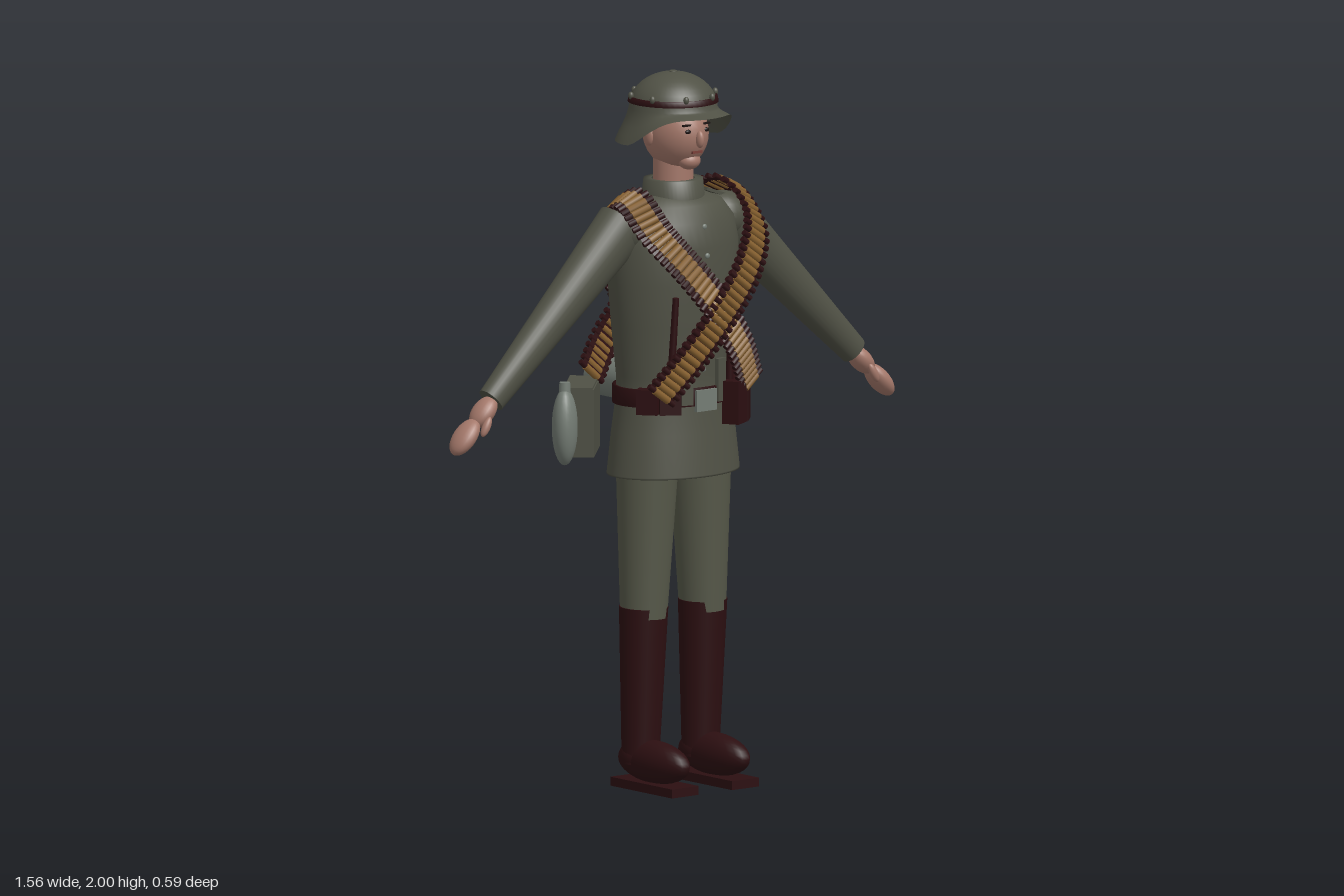
import * as THREE from 'three';
import { mergeGeometries } from 'three/addons/utils/BufferGeometryUtils.js';

const V = (x, y, z) => new THREE.Vector3(x, y, z);
const UP = V(0, 1, 0);
const CZ = 0.065; // depth of the body axis

function mat(name, color, side = THREE.FrontSide) {
  const m = new THREE.MeshStandardMaterial({ color, side });
  m.name = name;
  return m;
}

export function createModel() {
  const root = new THREE.Group();
  root.name = 'soldier';
  const cloth = mat('field grey cloth', 0x505145, THREE.DoubleSide);
  const trouser = mat('trouser grey', 0x565849);
  const leather = mat('dark leather', 0x2c0f11, THREE.DoubleSide);
  const brass = mat('brass', 0x86602f);
  const skin = mat('skin', 0xa4786a);
  const metal = mat('grey metal', 0x747c74);
  const dark = mat('eye black', 0x1c1413);
  const lip = mat('lip red', 0x7a4039);

  const add = (name, geo, m, pos = [0, 0, 0], scale = [1, 1, 1], rot = [0, 0, 0]) => {
    const mesh = new THREE.Mesh(geo, m);
    mesh.name = name;
    mesh.position.set(...pos);
    mesh.scale.set(...scale);
    mesh.rotation.set(...rot);
    root.add(mesh);
    return mesh;
  };
  const ball = (name, m, pos, radii, rot) => add(name, new THREE.SphereGeometry(1, 24, 16), m, pos, radii, rot);
  const box = (name, m, pos, size, rot) => add(name, new THREE.BoxGeometry(...size), m, pos, [1, 1, 1], rot);
  const rod = (name, m, a, b, ra, rb, depth = 1) => {
    const d = b.clone().sub(a);
    const mesh = add(name, new THREE.CylinderGeometry(rb, ra, d.length(), 28), m);
    mesh.position.copy(a).add(b).multiplyScalar(0.5);
    mesh.quaternion.setFromUnitVectors(UP, d.normalize());
    mesh.scale.z = depth;
    return mesh;
  };
  const lathe = (name, m, pts, depth = 1) => add(name,
    new THREE.LatheGeometry(pts.map(p => new THREE.Vector2(...p)), 48, Math.PI), m, [0, 0, CZ], [1, 1, depth]);

  // Tunic: skirt, waist, chest and sloping shoulders, then collar and belt
  lathe('tunic', cloth, [[0.001, 0.88], [0.203, 0.88], [0.203, 0.885], [0.19, 1.0], [0.175, 1.1], [0.175, 1.16],
    [0.19, 1.3], [0.2, 1.42], [0.2, 1.52], [0.185, 1.59], [0.15, 1.635], [0.09, 1.66], [0.001, 1.67]], 0.74);
  lathe('collar', cloth, [[0.09, 1.64], [0.083, 1.7], [0.06, 1.7]], 0.98);
  lathe('belt', leather, [[0.175, 1.08], [0.185, 1.08], [0.185, 1.13], [0.175, 1.13]], 0.76);
  box('beltBuckle', metal, [0, 1.095, CZ + 0.142], [0.07, 0.06, 0.012]);
  for (const [y, z] of [[1.58, 0.137], [1.5, 0.15], [1.42, 0.149], [1.27, 0.139], [1.18, 0.133]])
    ball('tunicButton', metal, [0, y, CZ + z], [0.008, 0.008, 0.005]);

  // Head and face
  rod('neck', skin, V(0, 1.66, CZ), V(0, 1.79, CZ), 0.056, 0.056);
  ball('head', skin, [0, 1.83, 0.075], [0.083, 0.102, 0.105]);
  ball('nose', skin, [0, 1.822, 0.182], [0.011, 0.024, 0.014]);
  ball('chin', skin, [0, 1.757, 0.135], [0.033, 0.025, 0.03]);
  box('mouth', lip, [0, 1.785, 0.168], [0.034, 0.007, 0.008]);
  for (const s of [1, -1]) {
    ball('eye', dark, [s * 0.032, 1.845, 0.17], [0.01, 0.006, 0.005]);
    box('eyebrow', dark, [s * 0.033, 1.862, 0.166], [0.028, 0.005, 0.008]);
    ball('ear', skin, [s * 0.083, 1.825, 0.06], [0.01, 0.028, 0.018]);
  }

  // Helmet: dome with a flared rim that rises over the face
  const dome = [[0.16, 1.8], [0.15, 1.825], [0.138, 1.85], [0.128, 1.875], [0.122, 1.9]];
  for (let i = 1; i <= 10; i++) {
    const a = i / 10 * Math.PI / 2;
    dome.push([Math.max(0.122 * Math.cos(a), 0.0005), 1.9 + 0.098 * Math.sin(a)]);
  }
  const helmet = lathe('helmet', cloth, dome, 1.02);
  const p = helmet.geometry.attributes.position;
  for (let i = 0; i < p.count; i++) {
    const y = p.getY(i);
    if (y >= 1.9) continue;
    const c = Math.cos(Math.atan2(p.getX(i), p.getZ(i)));
    const rim = 1.805 + 0.08 * THREE.MathUtils.smoothstep(c, -0.1, 0.9);
    p.setY(i, 1.9 - (1.9 - y) / 0.1 * (1.9 - rim));
  }
  helmet.geometry.computeVertexNormals();
  lathe('helmetBand', leather, [[0.119, 1.915], [0.125, 1.915], [0.122, 1.931], [0.114, 1.931]], 1.02);
  for (let i = 0; i < 8; i++) {
    const a = (i + 0.5) * Math.PI / 4;
    ball('helmetStud', cloth, [0.121 * Math.sin(a), 1.935, CZ + 0.123 * Math.cos(a)], [0.008, 0.011, 0.008]);
  }
  ball('helmetKnob', cloth, [0, 1.998, CZ], [0.012, 0.004, 0.012]);

  // Limbs
  for (const s of [1, -1]) {
    ball('shoulder', cloth, [s * 0.175, 1.575, CZ], [0.075, 0.07, 0.068]);
    box('shoulderBoard', cloth, [s * 0.15, 1.643, CZ], [0.1, 0.009, 0.045], [0, 0, -s * 0.35]);
    rod('sleeve', cloth, V(s * 0.18, 1.585, CZ - 0.003), V(s * 0.645, 1.145, 0.06), 0.078, 0.041, 0.87);
    ball('palm', skin, [s * 0.672, 1.115, 0.06], [0.028, 0.052, 0.037], [0, 0, s * 0.76]);
    ball('fingers', skin, [s * 0.738, 1.052, 0.06], [0.027, 0.06, 0.04], [0, 0, s * 0.72]);
    ball('thumb', skin, [s * 0.69, 1.08, 0.095], [0.012, 0.03, 0.012], [0, 0, s * 0.5]);
    rod('trouserLeg', trouser, V(s * 0.105, 0.48, CZ), V(s * 0.093, 0.95, CZ + 0.002), 0.065, 0.089);
    rod('bootShaft', leather, V(s * 0.107, 0.07, 0.053), V(s * 0.105, 0.51, CZ), 0.053, 0.07, 0.94);
    ball('ankle', leather, [s * 0.107, 0.09, 0.05], [0.056, 0.055, 0.055]);
    ball('bootFoot', leather, [s * 0.107, 0.08, 0.113], [0.052, 0.06, 0.145]);
    box('bootSole', leather, [s * 0.107, 0.0125, 0.115], [0.095, 0.025, 0.27]);
    // Thin carrying straps down the chest and the tabs under them
    rod('harnessStrap', leather, V(s * 0.105, 1.14, CZ + 0.118), V(s * 0.1, 1.39, CZ + 0.135), 0.011, 0.009);
    box('beltTab', cloth, [s * 0.06, 1.145, CZ + 0.133], [0.035, 0.12, 0.012], [0, s * 0.25, 0]);
  }

  // Crossed cartridge belts: a leather ribbon under a row of rounds
  const centre = V(0, 1.32, CZ);
  const path = [[-0.16, 1.13, 0.2], [-0.085, 1.24, 0.25], [0, 1.35, 0.272], [0.09, 1.46, 0.262], [0.165, 1.57, 0.2],
    [0.17, 1.655, 0.085], [0.155, 1.59, -0.03], [0.1, 1.48, -0.08], [0.02, 1.35, -0.112], [-0.07, 1.23, -0.128],
    [-0.14, 1.15, -0.1]];
  for (const s of [1, -1]) {
    const curve = new THREE.CatmullRomCurve3(path.map(([x, y, z]) => V(s * x, y, z)));
    const N = 66, pos = [], idx = [], shells = [], tips = [];
    for (let i = 0; i <= N; i++) {
      const c = curve.getPointAt(i / N), t = curve.getTangentAt(i / N);
      const w = t.clone().cross(c.clone().sub(centre)).normalize();
      const n = w.clone().cross(t).normalize();
      if (s > 0) c.addScaledVector(n, 0.012);
      pos.push(...c.clone().addScaledVector(w, 0.045).toArray(), ...c.clone().addScaledVector(w, -0.045).toArray());
      if (i < N) idx.push(2 * i, 2 * i + 1, 2 * i + 2, 2 * i + 1, 2 * i + 3, 2 * i + 2);
      const frame = new THREE.Matrix4().makeBasis(t, w, t.clone().cross(w)).setPosition(c.addScaledVector(n, 0.006));
      shells.push(new THREE.CylinderGeometry(0.0105, 0.0105, 0.056, 8).applyMatrix4(frame));
      tips.push(new THREE.CylinderGeometry(0.008, 0.008, 0.1, 8).applyMatrix4(frame));
    }
    const ribbon = new THREE.BufferGeometry();
    ribbon.setAttribute('position', new THREE.Float32BufferAttribute(pos, 3));
    ribbon.setIndex(idx);
    ribbon.computeVertexNormals();
    add('cartridgeBelt', ribbon, leather);
    add('cartridgeShells', mergeGeometries(shells), brass);
    add('cartridgeTips', mergeGeometries(tips), leather);
  }

  // Belt pouches at the front
  for (const a of [0.55, 0.9, 1.3])
    box('leftPouch', leather, [0.2 * Math.sin(a), 1.08, CZ + 0.165 * Math.cos(a)], [0.064, 0.12, 0.05], [0, a * 0.9, 0]);
  for (const a of [-0.65, -1.0])
    box('rightPouch', leather, [0.19 * Math.sin(a), 1.1, CZ + 0.16 * Math.cos(a)], [0.06, 0.07, 0.04], [0, a * 0.9, 0]);

  // Holster and entrenching tool on the left hip
  box('holster', leather, [0.205, 1.02, -0.072], [0.055, 0.2, 0.14]);
  box('holsterFlap', leather, [0.21, 1.11, -0.072], [0.062, 0.07, 0.145]);
  rod('toolHandle', metal, V(0.175, 1.1, -0.078), V(0.175, 1.39, -0.072), 0.013, 0.013);
  rod('toolBlade', metal, V(0.17, 1.14, -0.165), V(0.17, 1.14, -0.138), 0.06, 0.06);

  // Canister on the back
  rod('canister', metal, V(0.033, 1.103, -0.29), V(0.033, 1.103, -0.08), 0.063, 0.063);
  rod('canisterBracket', metal, V(0.03, 1.14, -0.15), V(0.17, 1.14, -0.15), 0.014, 0.014);

  // Bread bag and canteen behind the right hip
  box('breadBag', cloth, [-0.185, 1.025, -0.1], [0.2, 0.19, 0.075], [0, 0.8, 0]);
  box('breadBagFlap', cloth, [-0.19, 1.07, -0.104], [0.204, 0.11, 0.08], [0, 0.8, 0]);
  ball('canteen', metal, [-0.303, 1.02, -0.037], [0.052, 0.108, 0.036], [0, 0.8, 0]);
  rod('canteenCap', metal, V(-0.303, 1.11, -0.037), V(-0.303, 1.145, -0.037), 0.017, 0.015);

  return root;
}
